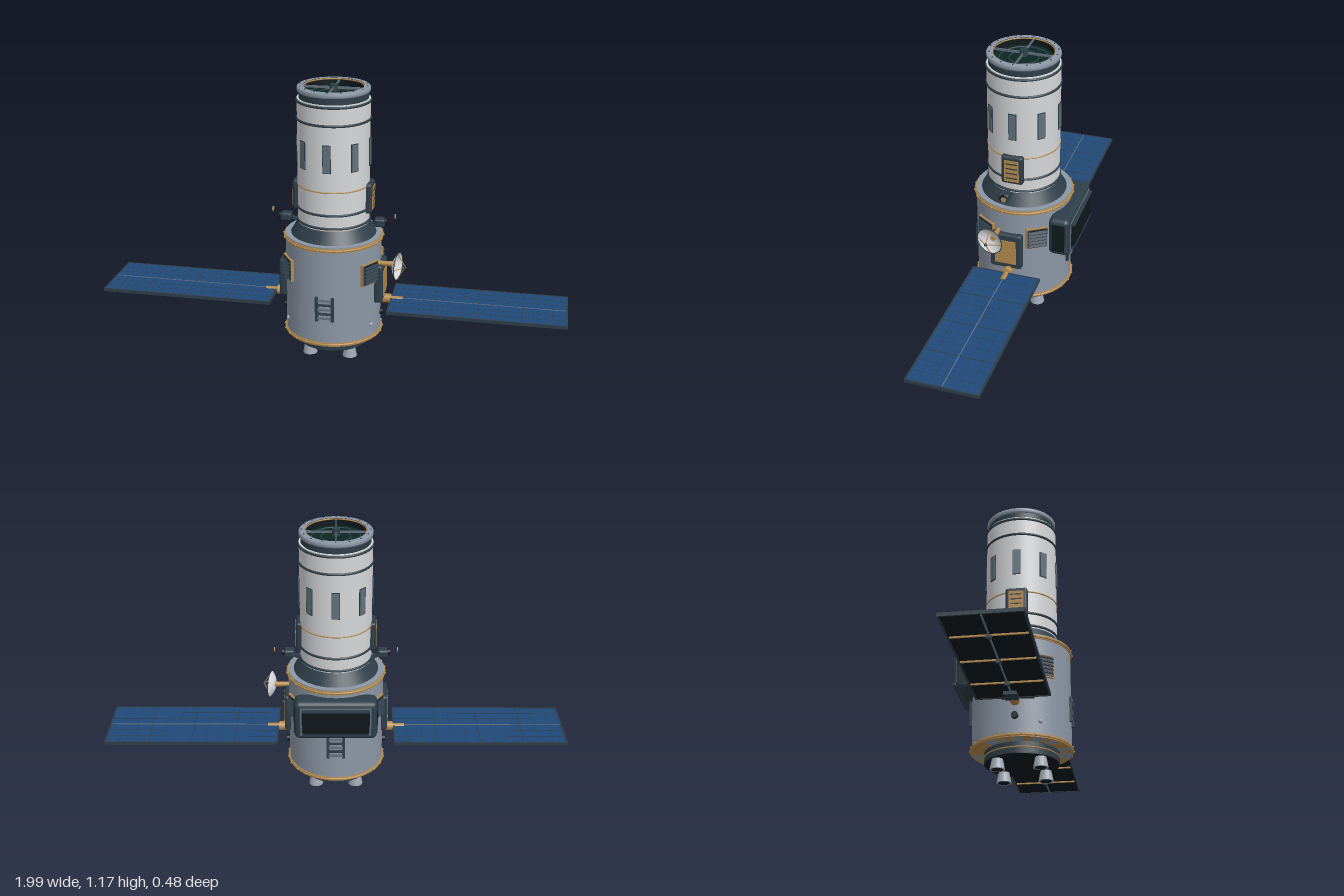
import * as THREE from 'three';
import { RoundedBoxGeometry } from 'three/addons/geometries/RoundedBoxGeometry.js';

const CZ = 0.025; // z of the body axis
const mat = (name, color, side = THREE.FrontSide) => {
  const m = new THREE.MeshStandardMaterial({ color, side });
  m.name = name;
  return m;
};

export function createModel() {
  const M = {
    white: mat('white insulation', 0xd6d7d9),
    hull: mat('grey hull', 0x8c97a6),
    dark: mat('dark slate', 0x2e3e49),
    black: mat('near black', 0x10191d),
    gold: mat('gold trim', 0xb58a4c),
    blue: mat('solar blue', 0x20497a),
    glass: mat('window grey', 0x62717c),
    dish: mat('dish white', 0xdadde0, THREE.DoubleSide),
    optic: mat('optic green', 0x0c2622),
    silver: mat('silver', 0xa0a8b4),
  };
  const root = new THREE.Group();
  root.name = 'spaceTelescope';
  const axis = new THREE.Group();
  axis.name = 'body';
  axis.position.z = CZ;
  root.add(axis);

  const add = (parent, name, geo, m, x = 0, y = 0, z = 0) => {
    const mesh = new THREE.Mesh(geo, m);
    mesh.name = name;
    mesh.position.set(x, y, z);
    parent.add(mesh);
    return mesh;
  };
  const box = (p, name, m, w, h, d, x, y, z) => add(p, name, new THREE.BoxGeometry(w, h, d), m, x, y, z);
  const rbox = (p, name, m, w, h, d, r, x, y, z) => add(p, name, new RoundedBoxGeometry(w, h, d, 3, r), m, x, y, z);
  const cyl = (p, name, m, rt, rb, y0, y1, x = 0, z = 0, seg = 64) =>
    add(p, name, new THREE.CylinderGeometry(rt, rb, y1 - y0, seg), m, x, (y0 + y1) / 2, z);
  const hoop = (p, name, m, r, y, t) => {
    const h = add(p, name, new THREE.TorusGeometry(r, t, 8, 64), m, 0, y, 0);
    h.rotation.x = Math.PI / 2;
    return h;
  };
  // Mount on the round body: local +z points outward, angle 0 is the front
  const mount = (name, angle, r, y) => {
    const g = new THREE.Group();
    g.name = name;
    g.position.set(Math.sin(angle) * r, y, Math.cos(angle) * r);
    g.rotation.y = angle;
    axis.add(g);
    return g;
  };
  const around = (n, fn) => { for (let i = 0; i < n; i++) fn((i / n) * Math.PI * 2, i); };

  // Base and thrusters
  cyl(axis, 'base', M.dark, 0.153, 0.153, 0.045, 0.1);
  cyl(axis, 'basePlate', M.black, 0.151, 0.151, 0.043, 0.046);
  hoop(axis, 'baseTrim', M.gold, 0.153, 0.07, 0.003);
  for (const sx of [-1, 1]) for (const sz of [-1, 1]) {
    cyl(axis, 'nozzle', M.silver, 0.022, 0.031, 0, 0.047, sx * 0.087, sz * 0.087, 24);
    const throat = add(axis, 'nozzleThroat', new THREE.CircleGeometry(0.024, 24), M.black, sx * 0.087, -0.0005, sz * 0.087);
    throat.rotation.x = Math.PI / 2;
  }

  // Equipment section with bolted gold rings
  cyl(axis, 'equipmentSection', M.hull, 0.204, 0.204, 0.092, 0.538);
  for (const y of [0.1, 0.525]) {
    cyl(axis, 'goldRing', M.gold, 0.2085, 0.2085, y - 0.008, y + 0.008);
    hoop(axis, 'goldRingLip', M.gold, 0.2075, y, 0.005);
    around(24, a => {
      const b = mount('ringBolt', a + 0.13, 0.212, y);
      add(b, 'bolt', new THREE.SphereGeometry(0.0045, 8, 6), M.gold);
    });
  }
  cyl(axis, 'shoulder', M.dark, 0.148, 0.182, 0.536, 0.592);

  // Telescope tube with hoops
  cyl(axis, 'tube', M.white, 0.151, 0.151, 0.59, 1.12);
  for (const y of [0.6, 0.657, 1.035, 1.11]) hoop(axis, 'darkHoop', M.dark, 0.151, y, 0.0055);
  hoop(axis, 'goldHoop', M.gold, 0.151, 0.756, 0.003);
  around(8, a => {
    const g = mount('tubeWindow', a, 0.151, 0.898);
    box(g, 'windowFrame', M.dark, 0.034, 0.118, 0.006, 0, 0, 0);
    box(g, 'windowPane', M.glass, 0.029, 0.112, 0.004, 0, 0, 0.0025);
  });

  // Open aperture: collar, rim, optic and spider
  const ring = (name, m, pts) => add(axis, name, new THREE.LatheGeometry(pts.map(p => new THREE.Vector2(...p)), 64), m);
  cyl(axis, 'collar', M.dark, 0.143, 0.143, 1.115, 1.122);
  ring('collarWall', M.dark, [[0.144, 1.118], [0.144, 1.148]]);
  ring('rim', M.hull, [[0.14, 1.145], [0.149, 1.147], [0.151, 1.153], [0.151, 1.163], [0.147, 1.168], [0.126, 1.168]]);
  ring('innerWall', M.black, [[0.126, 1.168], [0.126, 1.12]]);
  hoop(axis, 'apertureTrim', M.gold, 0.125, 1.164, 0.003);
  cyl(axis, 'optic', M.optic, 0.126, 0.126, 1.12, 1.135);
  for (const r of [0.1, 0.06]) hoop(axis, 'baffleRing', M.dark, r, 1.137, 0.003);
  for (const w of [0, 1]) box(axis, 'spiderVane', M.glass, w ? 0.004 : 0.25, 0.01, w ? 0.25 : 0.004, 0, 1.158, 0);
  cyl(axis, 'spiderHub', M.dark, 0.016, 0.018, 1.145, 1.173, 0, 0, 24);
  around(16, a => {
    const b = mount('rimBolt', a, 0.139, 1.169);
    add(b, 'bolt', new THREE.SphereGeometry(0.0035, 8, 6), M.dark);
  });

  // Front and back ladders
  for (const a of [0, Math.PI]) {
    const g = mount('ladder', a, 0.206, 0.262);
    for (const s of [-1, 1]) box(g, 'ladderRail', M.dark, 0.013, 0.108, 0.012, s * 0.033, 0, 0);
    for (let i = 0; i < 5; i++) box(g, 'ladderRung', i % 2 ? M.dark : M.glass, 0.06, 0.008, 0.008, 0, -0.04 + i * 0.02, 0.003);
  }

  // Four louvred vents
  for (const s of [-1, 1]) for (const d of [-1, 1]) {
    const g = mount('vent', s * (Math.PI / 2 + d * 0.57), 0.204, 0.4);
    box(g, 'ventFrame', M.gold, 0.094, 0.096, 0.014, 0, 0, 0);
    box(g, 'ventPanel', M.dark, 0.086, 0.088, 0.018, 0, 0, 0);
    for (let i = 0; i < 5; i++) {
      const slat = box(g, 'ventSlat', M.dark, 0.078, 0.004, 0.018, 0, -0.032 + i * 0.016, 0.012);
      slat.rotation.x = 0.5;
      box(g, 'ventGap', M.black, 0.078, 0.004, 0.003, 0, -0.025 + i * 0.016, 0.009);
    }
  }

  // Side equipment, repeated on both flanks
  for (const s of [-1, 1]) {
    const a = s * Math.PI / 2;
    const hatch = mount('sideHatch', a, 0.204, 0.336);
    const hx = -s * 0.012;
    rbox(hatch, 'hatchBody', M.dark, 0.138, 0.17, 0.038, 0.012, hx, 0, 0);
    box(hatch, 'hatchPlate', M.gold, 0.092, 0.114, 0.006, hx, -0.002, 0.019);

    const bay = mount('tubeBay', a, 0.15, 0.703);
    rbox(bay, 'bayBody', M.dark, 0.093, 0.13, 0.036, 0.012, 0, 0, 0);
    box(bay, 'bayPlate', M.gold, 0.062, 0.098, 0.005, 0, -0.002, 0.018);
    for (let i = 0; i < 4; i++) box(bay, 'baySlot', M.dark, 0.048, 0.005, 0.004, 0, -0.034 + i * 0.022, 0.02);

    // Tracker camera with its stand-off cap
    const tracker = new THREE.Group();
    tracker.name = 'starTracker';
    tracker.position.set(s * 0.2, 0.598, 0.02);
    axis.add(tracker);
    rbox(tracker, 'trackerBody', M.dark, 0.046, 0.036, 0.046, 0.01, 0, 0, 0);
    const arm = box(tracker, 'trackerArm', M.dark, 0.07, 0.012, 0.016, -s * 0.035, -0.012, -0.01);
    arm.rotation.z = s * 0.4;
    const lens = add(tracker, 'trackerLens', new THREE.CylinderGeometry(0.014, 0.014, 0.012, 20), M.black, s * 0.024, 0.003, 0);
    lens.rotation.z = Math.PI / 2;
    const cap = add(tracker, 'trackerCap', new THREE.CylinderGeometry(0.011, 0.011, 0.004, 16), M.gold, s * 0.062, 0.022, -0.016);
    cap.rotation.z = Math.PI / 2;

    // Porthole and sensor dome
    const port = mount('porthole', a, 0.206, 0.18);
    const disc = add(port, 'portRim', new THREE.CylinderGeometry(0.014, 0.014, 0.022, 20), M.black);
    disc.rotation.x = Math.PI / 2;
    add(port, 'portGlass', new THREE.CircleGeometry(0.009, 20), M.optic, 0, 0, 0.012);
    const dome = mount('sensorDome', s * (Math.PI / 2 - 0.5), 0.204, 0.16);
    add(dome, 'dome', new THREE.SphereGeometry(0.009, 12, 8), M.silver);

    // Solar wing
    const wing = new THREE.Group();
    wing.name = 'solarWing';
    axis.add(wing);
    const root2 = add(wing, 'wingRoot', new THREE.CylinderGeometry(0.02, 0.02, 0.05, 24), M.gold, s * 0.225, 0.243, 0);
    root2.rotation.z = Math.PI / 2;
    const shaft = add(wing, 'wingShaft', new THREE.CylinderGeometry(0.013, 0.013, 0.09, 20), M.gold, s * 0.255, 0.241, 0);
    shaft.rotation.z = Math.PI / 2;
    box(wing, 'wingBracket', M.dark, 0.065, 0.014, 0.052, s * 0.308, 0.222, 0);
    const L = 0.746, W = 0.298, X = s * (0.25 + L / 2);
    box(wing, 'wingBack', M.black, L - 0.008, 0.008, W - 0.008, X, 0.241, 0);
    box(wing, 'wingCells', M.blue, L - 0.012, 0.003, W - 0.012, X, 0.2465, 0);
    for (const e of [-1, 1]) {
      box(wing, 'wingEdge', M.dark, L, 0.014, 0.007, X, 0.242, e * (W / 2 - 0.0035));
      box(wing, 'wingEnd', M.dark, 0.007, 0.014, W, X + e * (L / 2 - 0.0035), 0.242, 0);
    }
    for (let i = 1; i < 12; i++) box(wing, 'cellLine', M.dark, i % 3 ? 0.0015 : 0.004, 0.001, W - 0.014, X + (i / 12 - 0.5) * L, 0.2483, 0);
    for (const z of [-0.098, -0.049, 0.049, 0.098]) box(wing, 'cellRow', M.dark, L - 0.014, 0.001, 0.0015, X, 0.2483, z);
    box(wing, 'centreStrip', M.glass, L - 0.014, 0.0016, 0.004, X, 0.2486, 0);
    box(wing, 'underSpar', M.glass, L - 0.02, 0.006, 0.006, X, 0.235, 0);
    for (const x of [0.41, 0.62, 0.83]) {
      box(wing, 'underRib', M.gold, 0.006, 0.007, W - 0.02, s * x, 0.234, 0);
      box(wing, 'ribClamp', M.dark, 0.012, 0.012, 0.02, s * x, 0.228, 0);
    }
  }

  // Rear instrument bay with a stand-off cover
  const bay = new THREE.Group();
  bay.name = 'rearBay';
  bay.position.set(0, 0.413, -0.178);
  root.add(bay);
  rbox(bay, 'rearBayBody', M.dark, 0.345, 0.176, 0.09, 0.022, 0, 0, 0);
  for (const s of [-1, 1]) box(bay, 'rearBaySide', M.black, 0.006, 0.13, 0.055, s * 0.172, 0, 0);
  box(bay, 'rearFrame', M.glass, 0.295, 0.132, 0.008, 0, 0, -0.044);
  box(bay, 'rearRecess', M.black, 0.282, 0.12, 0.008, 0, 0, -0.046);
  box(bay, 'rearCover', M.black, 0.27, 0.11, 0.014, 0, 0, -0.053);
  for (const s of [-1, 1]) box(bay, 'coverRail', M.dark, 0.28, 0.008, 0.016, 0, s * 0.056, -0.054);

  // Dish antenna on a gold boom, facing the left flank
  const boom = add(axis, 'dishBoom', new THREE.CylinderGeometry(0.009, 0.012, 0.08, 16), M.gold, 0.23, 0.425, 0.05);
  boom.rotation.z = Math.PI / 2;
  const dish = new THREE.Group();
  dish.name = 'dishAntenna';
  dish.position.set(0.262, 0.42, 0.055);
  dish.rotation.set(0, -0.2, -Math.PI / 2);
  axis.add(dish);
  const bowl = [];
  for (let i = 0; i <= 8; i++) bowl.push(new THREE.Vector2(0.058 * i / 8, 0.024 * (i / 8) ** 2));
  add(dish, 'dishBowl', new THREE.LatheGeometry(bowl, 40), M.dish);
  hoop(dish, 'dishRim', M.dark, 0.058, 0.024, 0.002);
  around(4, a => {
    const p = new THREE.LineCurve3(new THREE.Vector3(Math.sin(a) * 0.055, 0.023, Math.cos(a) * 0.055), new THREE.Vector3(0, 0.055, 0));
    add(dish, 'feedStrut', new THREE.TubeGeometry(p, 1, 0.002, 6), M.gold);
  });
  add(dish, 'feedHorn', new THREE.SphereGeometry(0.007, 12, 8), M.dark, 0, 0.055, 0);
  return root;
}
